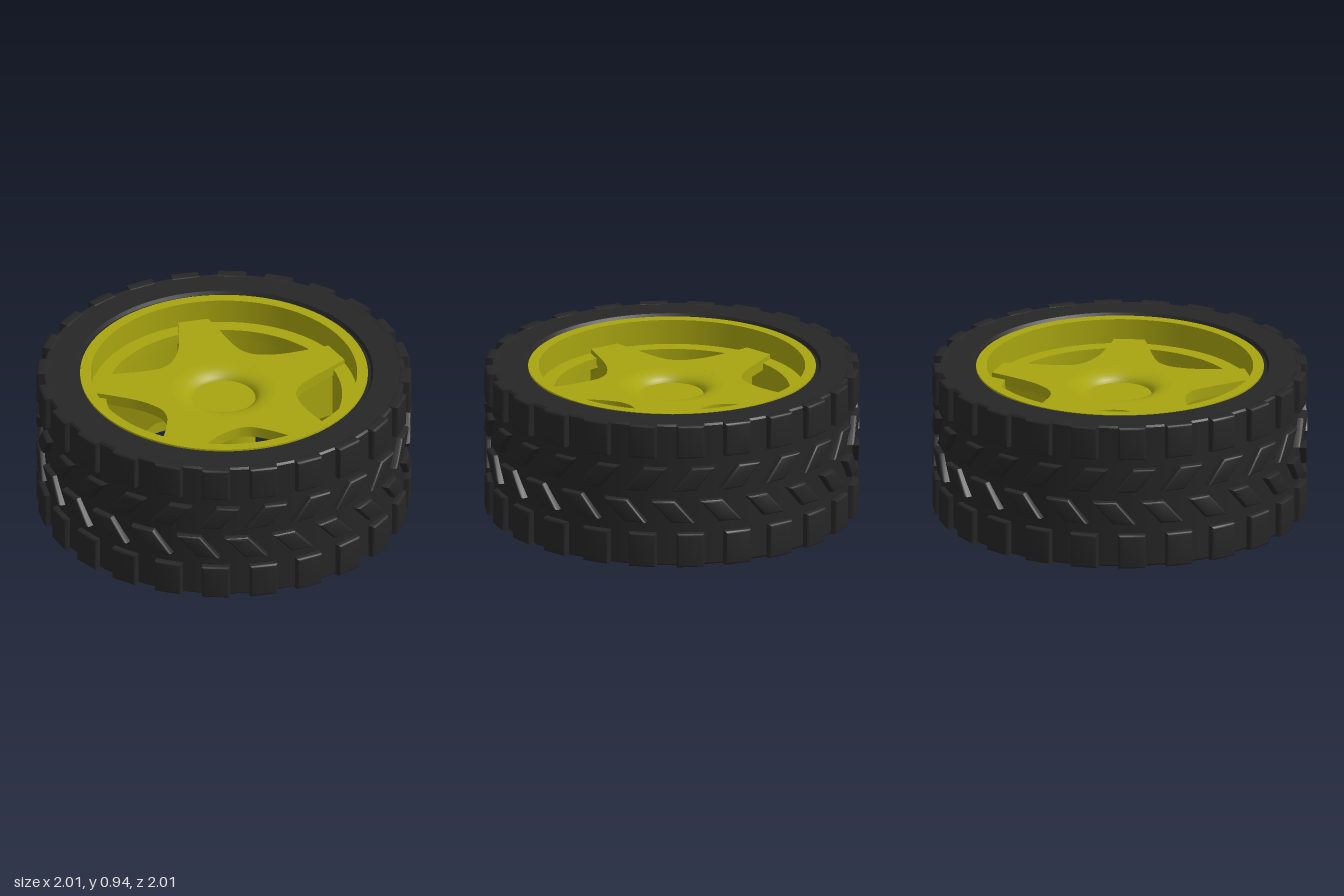
import * as THREE from 'three';
import { mergeGeometries, toCreasedNormals } from 'three/addons/utils/BufferGeometryUtils.js';

const rubber = new THREE.MeshStandardMaterial({ color: 0x262626 });
const plastic = new THREE.MeshStandardMaterial({ color: 0xa8a510 });
const plasticThin = new THREE.MeshStandardMaterial({ color: 0xa8a510, side: THREE.DoubleSide });
const RAD = Math.PI / 180;

const v2 = ([x, y]) => new THREE.Vector2(x, y);

// Revolved profile with a crisp edge at every profile point
function revolve(profile) {
  const bands = [];
  for (let i = 0; i < profile.length - 1; i++) {
    bands.push(new THREE.LatheGeometry([v2(profile[i]), v2(profile[i + 1])], 96));
  }
  return mergeGeometries(bands);
}

// Flat shape in x/z, extruded downwards from height top
function slab(shape, top, depth, segments = 24) {
  const g = new THREE.ExtrudeGeometry(shape, { depth, bevelEnabled: false, curveSegments: segments });
  g.rotateX(Math.PI / 2).translate(0, top, 0);
  return toCreasedNormals(g, 0.5);
}

// Row of 24 bevelled tread blocks; skew leans the top edge sideways
function treadRow(y0, y1, width, skew, angle) {
  const w = width / 2;
  const shape = new THREE.Shape([[-w - skew, y0], [w - skew, y0], [w + skew, y1], [-w + skew, y1]].map(v2));
  const bevel = 0.014;
  const block = new THREE.ExtrudeGeometry(shape, {
    depth: 0.04, bevelThickness: bevel, bevelSize: bevel, bevelOffset: -bevel, bevelSegments: 3,
  });
  block.translate(0, 0, 0.998 - 0.04 - bevel);
  const blocks = [];
  for (let i = 0; i < 24; i++) blocks.push(block.clone().rotateY((angle + i * 15) * RAD));
  return toCreasedNormals(mergeGeometries(blocks), 0.6);
}

export function createModel() {
  const group = new THREE.Group();
  const add = (name, geometry, material) => {
    const mesh = new THREE.Mesh(geometry, material);
    mesh.name = name;
    group.add(mesh);
    return mesh;
  };

  // Tyre carcass
  add('tyre', revolve([
    [0.765, 0.16], [0.785, 0.16], [0.795, 0.142], [0.955, 0.142], [0.965, 0.152],
    [0.965, 0.928], [0.955, 0.938], [0.795, 0.938], [0.785, 0.92], [0.765, 0.92], [0.765, 0.16],
  ]), rubber);

  // Tread: square shoulder blocks and two slanted middle rows
  add('lowerShoulderTread', treadRow(0.14, 0.33, 0.148, 0, 5.5), rubber);
  add('lowerSlantedTread', treadRow(0.39, 0.515, 0.125, -0.053, 0), rubber);
  add('upperSlantedTread', treadRow(0.57, 0.70, 0.125, 0.053, 6.3), rubber);
  add('upperShoulderTread', treadRow(0.755, 0.94, 0.148, 0, 5.5), rubber);

  // Rim barrel with an inner ledge carrying the spokes
  add('rim', revolve([
    [0.71, 0.155], [0.767, 0.155], [0.767, 0.93], [0.71, 0.93],
    [0.71, 0.795], [0.63, 0.795], [0.63, 0.74], [0.71, 0.74], [0.71, 0.155],
  ]), plastic);

  // Five-armed spoke plate: each window edge given as [degrees past the arm, radius]
  const windowEdge = [[7, 0.708], [11.5, 0.59], [17, 0.49], [25, 0.413], [33, 0.388],
    [42, 0.395], [54, 0.462], [62, 0.59], [65.7, 0.708]];
  const star = new THREE.Shape();
  for (let i = 0; i < 5; i++) {
    const pts = windowEdge.map(([a, r]) => {
      const t = (32 + i * 72 + a) * RAD;
      return new THREE.Vector2(r * Math.cos(t), r * Math.sin(t));
    });
    if (i === 0) star.moveTo(pts[0].x, pts[0].y);
    else star.lineTo(pts[0].x, pts[0].y);
    star.splineThru(pts.slice(1));
  }
  star.closePath();
  const dimpleHole = new THREE.Path();
  dimpleHole.absarc(0, 0, 0.28, 0, Math.PI * 2, true);
  star.holes.push(dimpleHole);
  add('spokePlate', slab(star, 0.82, 0.06, 16), plastic);

  // Rounded dimple in the middle of the plate
  add('dimpleWall', new THREE.LatheGeometry([
    [0.168, 0.77], [0.176, 0.787], [0.195, 0.803], [0.225, 0.814], [0.255, 0.819], [0.28, 0.82],
  ].map(v2).reverse(), 64).scale(1, 1, 1), plasticThin);
  add('dimpleFloor', new THREE.CircleGeometry(0.168, 64).rotateX(-Math.PI / 2).translate(0, 0.77, 0), plasticThin);
  add('plateUnderside', new THREE.RingGeometry(0.1, 0.285, 64).rotateX(Math.PI / 2).translate(0, 0.76, 0), plastic);

  // Gusset under one edge of every arm
  const ribShape = new THREE.Shape([
    [0.15, 0.765], [0.15, 0.72], [0.36, 0.64], [0.61, 0.40], [0.71, 0.40], [0.71, 0.765],
  ].map(v2));
  const rib = new THREE.ExtrudeGeometry(ribShape, { depth: 0.035, bevelEnabled: false });
  rib.translate(0, 0, -0.08);
  for (let i = 0; i < 5; i++) {
    add('spokeRib', rib, plastic).rotation.y = -(32 + i * 72) * RAD;
  }

  // Hub tube with a two-flat shaft hole
  const hub = new THREE.Shape();
  hub.absarc(0, 0, 0.167, 0, Math.PI * 2, false);
  const flat = Math.acos(0.057 / 0.084);
  const bore = new THREE.Path();
  bore.absarc(0, 0, 0.084, flat, Math.PI - flat, false);
  bore.absarc(0, 0, 0.084, Math.PI + flat, Math.PI * 2 - flat, false);
  bore.closePath();
  hub.holes.push(bore);
  add('hub', slab(hub, 0.765, 0.765, 32), plastic);

  return group;
}
